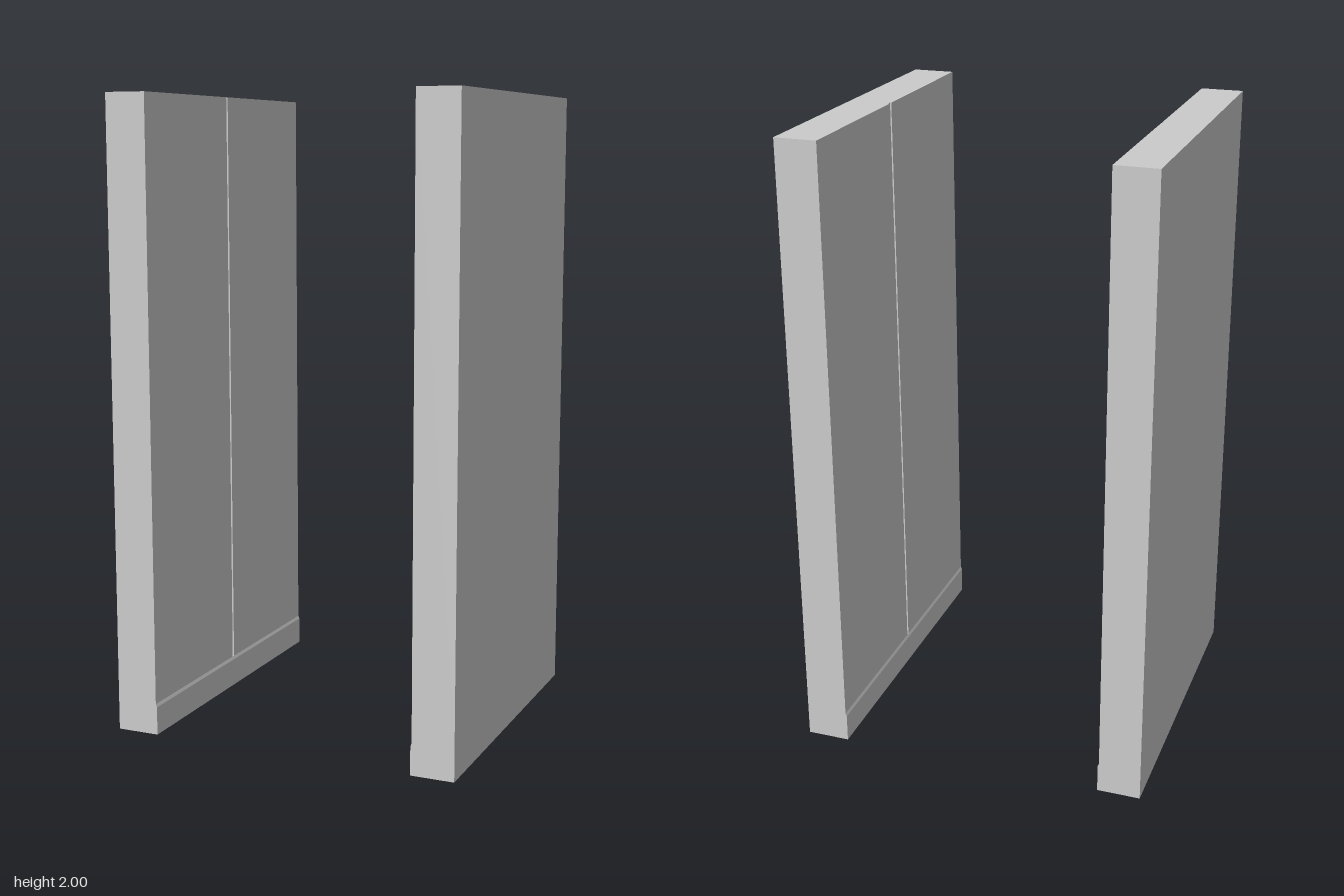
import * as THREE from 'three';

const OUTER = 0.566, FACE = 0.432, HALF = 0.533, HEIGHT = 2;
const SKIRT_FACE = 0.428, SKIRT_TOP = 0.1, BEVEL = 0.01;
const GROOVE_FLOOR = 0.437, GROOVE = 0.005;

const material = new THREE.MeshStandardMaterial({ color: 0xcccccc, flatShading: true });

// Straight extrusion of a closed outline
function extrude(points, depth) {
  const shape = new THREE.Shape(points.map(([x, y]) => new THREE.Vector2(x, y)));
  return new THREE.ExtrudeGeometry(shape, { depth, bevelEnabled: false });
}

function part(name, geometry) {
  const mesh = new THREE.Mesh(geometry, material);
  mesh.name = name;
  return mesh;
}

// One wall standing on the +x side, inner face towards x = 0
function createWall(name) {
  const wall = new THREE.Group();
  wall.name = name;

  // Panelled slab: plan outline with a central groove, raised vertically
  const slab = extrude([
    [OUTER, -HALF], [OUTER, HALF], [FACE, HALF],
    [FACE, GROOVE], [GROOVE_FLOOR, GROOVE], [GROOVE_FLOOR, -GROOVE], [FACE, -GROOVE],
    [FACE, -HALF],
  ], HEIGHT - SKIRT_TOP);
  slab.rotateX(-Math.PI / 2).translate(0, SKIRT_TOP, 0);
  wall.add(part('wallPanel', slab));

  // Base with a bevelled skirting edge, running the full length
  const base = extrude([
    [SKIRT_FACE, 0], [OUTER, 0], [OUTER, SKIRT_TOP],
    [FACE, SKIRT_TOP], [SKIRT_FACE, SKIRT_TOP - BEVEL],
  ], HALF * 2);
  base.translate(0, 0, -HALF);
  wall.add(part('skirting', base));
  return wall;
}

export function createModel() {
  const model = new THREE.Group();
  model.name = 'wallPair';
  const left = createWall('leftWall');
  const right = createWall('rightWall');
  right.rotation.y = Math.PI; // faces the other wall
  model.add(left, right);
  return model;
}
